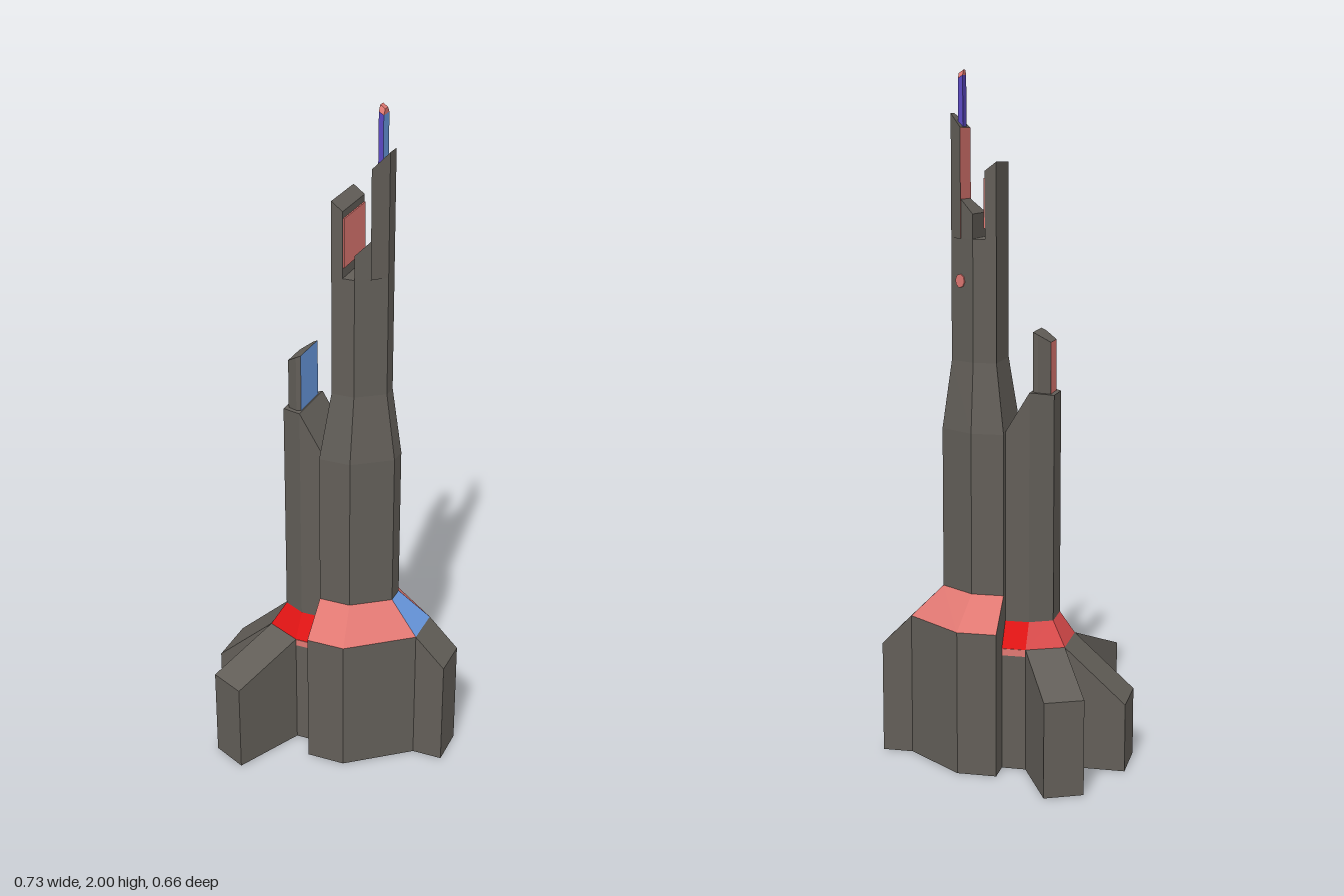
import * as THREE from 'three';

const mat = (name, color) => {
  const m = new THREE.MeshStandardMaterial({ color });
  m.name = name;
  return m;
};

// Plan section symmetric in z: back edge outwards, then front edge back again.
function section(xs, ws, ys) {
  const y = (i) => (Array.isArray(ys) ? ys[i] : ys);
  const back = xs.map((x, i) => [x, y(i), -ws[i]]);
  const front = xs.map((x, i) => [x, y(i), ws[i]]).reverse();
  return [...back, ...front];
}

// Flat-faced solid through stacked rings; sides may each have a material.
function loft(name, rings, sides, cap) {
  const n = rings[0].length, pos = [], mats = [], geo = new THREE.BufferGeometry();
  let area = 0;
  rings[0].forEach((p, i) => {
    const q = rings[0][(i + 1) % n];
    area += p[2] * q[0] - q[2] * p[0];
  });
  const flip = area < 0;
  const quad = (a, b, c, d, m) => {
    let k = mats.indexOf(m);
    if (k < 0) k = mats.push(m) - 1;
    geo.addGroup(pos.length / 3, 6, k);
    const order = flip ? [a, c, b, a, d, c] : [a, b, c, a, c, d];
    order.forEach((p) => pos.push(...p));
  };
  for (let r = 0; r + 1 < rings.length; r++) {
    for (let i = 0; i < n; i++) {
      const j = (i + 1) % n;
      quad(rings[r][i], rings[r][j], rings[r + 1][j], rings[r + 1][i],
        Array.isArray(sides) ? sides[i] : sides);
    }
  }
  const bot = rings[0], top = rings[rings.length - 1];
  for (let i = 0; i < n / 2 - 1; i++) {
    const k = n - 1 - i;
    quad(top[i], top[i + 1], top[k - 1], top[k], cap);
    quad(bot[k], bot[k - 1], bot[i + 1], bot[i], cap);
  }
  geo.setAttribute('position', new THREE.Float32BufferAttribute(pos, 3));
  geo.computeVertexNormals();
  const mesh = new THREE.Mesh(geo, mats.length > 1 ? mats : mats[0]);
  mesh.name = name;
  return mesh;
}

export function createModel() {
  const gray = mat('warm gray', 0x625e58);
  const salmon = mat('salmon', 0xe07872);
  const midRed = mat('mid red', 0xdc4c4c);
  const red = mat('bright red', 0xe01414);
  const blue = mat('blue', 0x6a9ae2);
  const purple = mat('purple', 0x5a48c0);

  const model = new THREE.Group();
  model.name = 'twinTower';
  const add = (...args) => model.add(loft(...args));
  const plate = (name, m, w, h, d, x, y, z) => {
    const p = new THREE.Mesh(new THREE.BoxGeometry(w, h, d), m);
    p.name = name;
    p.position.set(x, y, z);
    model.add(p);
    return p;
  };

  // Tall tower: base, coloured skirt and tapering shaft
  const baseX = [-0.015, 0.1, 0.275], baseW = [0.2, 0.2, 0.06];
  const lowX = [-0.015, 0.08, 0.185], lowW = [0.105, 0.105, 0.027];
  const highX = [0.012, 0.08, 0.157], highW = [0.078, 0.078, 0.022];
  add('tallBase', [section(baseX, baseW, 0), section(baseX, baseW, 0.42)], gray, gray);
  add('tallSkirt', [section(baseX, baseW, 0.42), section(lowX, lowW, 0.51)],
    [salmon, salmon, blue, salmon, salmon, gray], gray);
  add('tallShaft', [section(lowX, lowW, 0.51), section(lowX, lowW, 0.98),
    section(highX, highW, 1.18), section(highX, highW, 1.53)], gray, gray);
  add('tallButtress', [section([0.275, 0.365], [0.06, 0.06], 0),
    section([0.275, 0.365], [0.06, 0.06], [0.42, 0.33])], gray, gray);

  // Stepped crown of the tall tower
  const block = (name, xs, ws, y0, tops, sides) =>
    add(name, [section(xs, ws, y0), section(xs, ws, tops)], sides, gray);
  block('crownWall', [0.012, 0.045], [0.078, 0.078], 1.53, [1.745, 1.72], gray);
  block('crownStep', [0.08, 0.12], [0.078, 0.052], 1.53, [1.6, 1.64], gray);
  block('crownSpire', [0.12, 0.157], [0.06, 0.022], 1.53, [1.84, 1.88],
    [gray, gray, gray, salmon]);
  plate('wallPanel', salmon, 0.006, 0.14, 0.15, 0.046, 1.63, 0);

  // Antenna with a pointed tip
  const antX = [0.122, 0.136];
  const paint = [purple, blue, purple, purple];
  add('antenna', [section(antX, [0.02, 0.02], 1.84),
    section(antX, [0.02, 0.02], [1.985, 1.975])], paint, salmon);
  add('antennaTip', [section(antX, [0.02, 0.02], [1.985, 1.975]),
    section(antX, [0.01, 0.01], [2.0, 1.99])], salmon, salmon);

  // Round marker on the rear slanted face
  const marker = new THREE.Mesh(new THREE.CylinderGeometry(0.02, 0.02, 0.006, 8), salmon);
  marker.name = 'roundMarker';
  marker.position.set(0.124, 1.41, -0.046);
  marker.quaternion.setFromUnitVectors(new THREE.Vector3(0, 1, 0),
    new THREE.Vector3(0.588, 0, -0.809));
  model.add(marker);

  // Short tower: base, skirt and shaft with a sloping roof
  const sbX = [-0.015, -0.085, -0.19], sbW = [0.128, 0.128, 0.078];
  const ssX = [-0.015, -0.085, -0.15], ssW = [0.083, 0.083, 0.05];
  add('shortBase', [section(sbX, sbW, 0), section(sbX, sbW, 0.36)], gray, gray);
  add('shortSkirt', [section(sbX, sbW, 0.36), section(ssX, ssW, 0.43)],
    [red, midRed, midRed, red, red, gray], gray);
  add('shortShaft', [section(ssX, ssW, 0.43), section(ssX, ssW, [0.985, 1.1, 1.09])], gray, gray);
  for (const s of [-1, 1]) plate('skirtTrim', salmon, 0.068, 0.02, 0.006, -0.05, 0.35, s * 0.127);

  // Cabin on the short tower
  const cabX = [-0.09, -0.105, -0.138], cabW = [0.06, 0.06, 0.04];
  add('cabin', [section(cabX, cabW, 1.08), section(cabX, cabW, [1.27, 1.262, 1.24])],
    [gray, gray, salmon, gray, gray, blue], gray);

  // Three sloping fins around the short tower
  add('rearFin', [section([-0.19, -0.368], [0.078, 0.078], 0),
    section([-0.19, -0.368], [0.078, 0.078], [0.36, 0.2])], gray, gray);
  for (const s of [-1, 1]) {
    const plan = [[-0.085, 0.128], [-0.181, 0.33], [-0.285, 0.28], [-0.19, 0.078]];
    const ring = (ys) => plan.map(([x, z], i) => [x, ys[i], s * z]);
    add(s > 0 ? 'frontFin' : 'backFin',
      [ring([0, 0, 0, 0]), ring([0.36, 0.275, 0.275, 0.36])], gray, gray);
  }
  return model;
}
